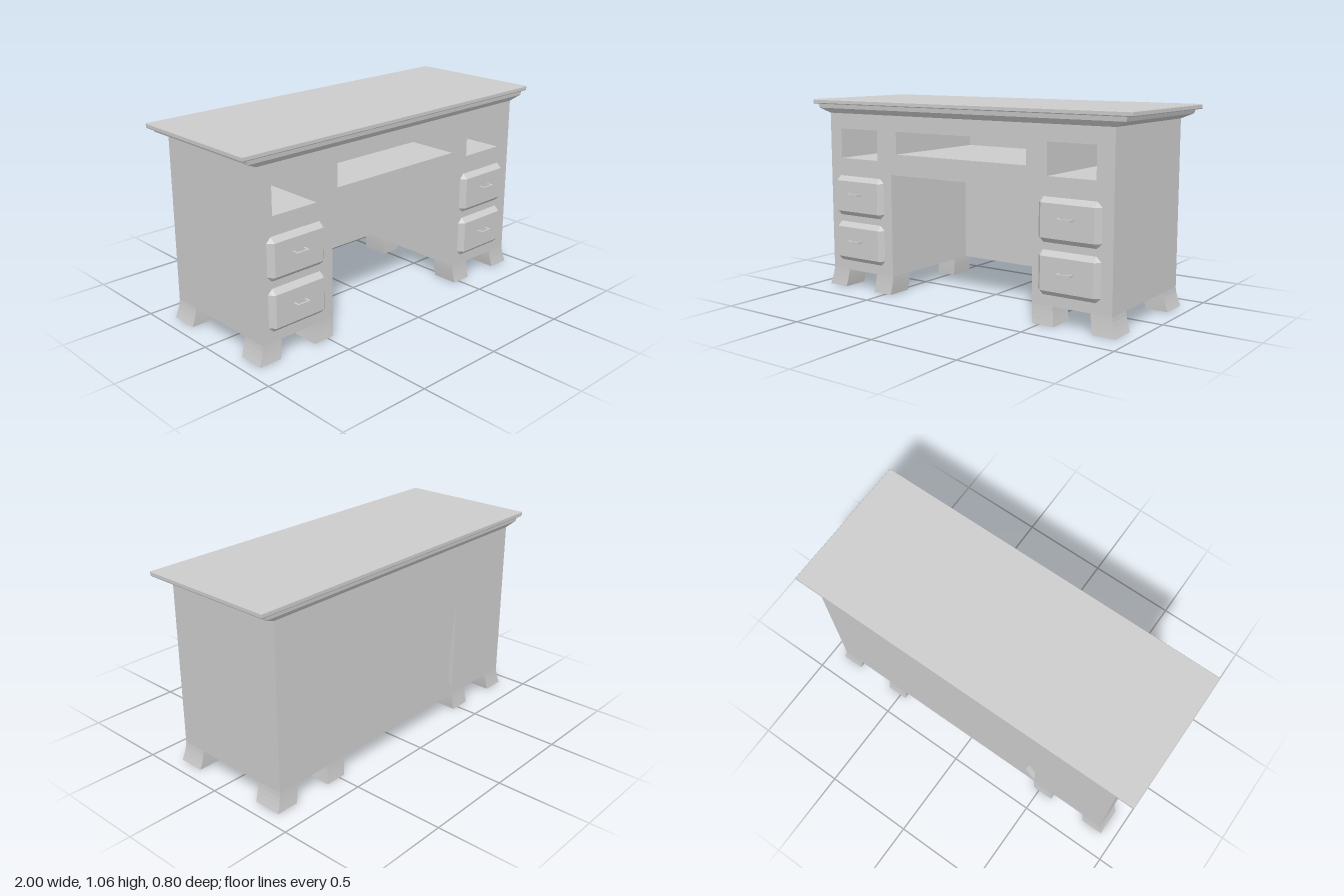
import * as THREE from 'three';

const mat = new THREE.MeshStandardMaterial({ color: 0xcccccc, flatShading: true });

function add(parent, name, geometry) {
  const mesh = new THREE.Mesh(geometry, mat);
  mesh.name = name;
  parent.add(mesh);
  return mesh;
}

// Skin a list of equal-length rings of [x, y, z], with flat end caps
function loft(rings) {
  const pos = [];
  const tri = (...pts) => pts.forEach((p) => pos.push(...p));
  const n = rings[0].length;
  for (let i = 0; i < rings.length - 1; i++) {
    for (let k = 0; k < n; k++) {
      const j = (k + 1) % n;
      const a = rings[i][k], b = rings[i][j], c = rings[i + 1][j], d = rings[i + 1][k];
      tri(a, b, c);
      tri(a, c, d);
    }
  }
  const first = rings[0], last = rings[rings.length - 1];
  for (let k = 1; k < n - 1; k++) {
    tri(first[0], first[k + 1], first[k]);
    tri(last[0], last[k], last[k + 1]);
  }
  const g = new THREE.BufferGeometry();
  g.setAttribute('position', new THREE.Float32BufferAttribute(pos, 3));
  g.computeVertexNormals();
  return g;
}

// Horizontal rectangle at height y
const level = (y, x0, x1, z0, z1) => [[x0, y, z1], [x1, y, z1], [x1, y, z0], [x0, y, z0]];

const shapeOf = (pts) => new THREE.Shape(pts.map(([x, y]) => new THREE.Vector2(x, y)));
const pathOf = (pts) => new THREE.Path(pts.map(([x, y]) => new THREE.Vector2(x, y)));
const rect = (x0, x1, y0, y1) => [[x0, y0], [x1, y0], [x1, y1], [x0, y1]];

function slab(shape, z0, z1) {
  const g = new THREE.ExtrudeGeometry(shape, { depth: z1 - z0, bevelEnabled: false });
  g.translate(0, 0, z0);
  return g;
}

// Drawer front: cut-corner outline tapering to a rectangular face
function drawerFront(cx, y0, y1) {
  const w = 0.175, c = 0.027, z0 = 0.334, z1 = 0.363;
  const x0 = cx - w, x1 = cx + w;
  const outer = [[x0 + c, y0], [x1 - c, y0], [x1, y0 + c], [x1, y1 - c],
    [x1 - c, y1], [x0 + c, y1], [x0, y1 - c], [x0, y0 + c]];
  const inner = outer.map(([x, y]) => [
    THREE.MathUtils.clamp(x, x0 + c, x1 - c),
    THREE.MathUtils.clamp(y, y0 + c, y1 - c)]);
  return loft([outer.map(([x, y]) => [x, y, z0]), inner.map(([x, y]) => [x, y, z1])]);
}

// U-shaped pull lying flat, projecting forwards
function pull(cx, y) {
  const w = 0.038, t = 0.01, back = 0.36, front = 0.4, h = 0.012;
  const u = shapeOf([[-w, -back], [-w, -front], [w, -front], [w, -back],
    [w - t, -back], [w - t, -front + t], [-w + t, -front + t], [-w + t, -back]]);
  const g = new THREE.ExtrudeGeometry(u, { depth: h, bevelEnabled: false });
  g.rotateX(-Math.PI / 2);
  g.translate(cx, y - h / 2, 0);
  return g;
}

export function createModel() {
  const desk = new THREE.Group();
  desk.name = 'desk';

  // Carcass with knee space and three open compartments
  const knee = 0.455, bottom = 0.1, top = 0.988;
  const front = shapeOf([[-0.9, bottom], [-knee, bottom], [-knee, 0.665], [knee, 0.665],
    [knee, bottom], [0.9, bottom], [0.9, top], [-0.9, top]]);
  front.holes.push(
    pathOf(rect(-0.82, -0.553, 0.735, 0.9)),
    pathOf(rect(-0.418, 0.416, 0.778, 0.9)),
    pathOf(rect(0.535, 0.805, 0.735, 0.9)));
  add(desk, 'carcass', slab(front, -0.325, 0.335));

  // Back panel, with a small triangular recess beside one pedestal
  const back = shapeOf(rect(-0.9, 0.9, bottom, top));
  back.holes.push(pathOf([[-0.455, 0.13], [-0.395, 0.24], [-0.455, 0.65]]));
  add(desk, 'backPanel', slab(back, -0.365, -0.335));
  add(desk, 'backLining', slab(shapeOf(rect(-0.9, 0.9, bottom, top)), -0.335, -0.325));

  // Flared moulding and worktop
  add(desk, 'moulding', loft([
    level(0.985, -0.9, 0.9, -0.365, 0.335),
    level(1.012, -0.962, 0.962, -0.386, 0.357),
    level(1.036, -0.97, 0.97, -0.388, 0.36)]));
  add(desk, 'worktop', loft([
    level(1.035, -0.997, 0.997, -0.397, 0.366),
    level(1.039, -1, 1, -0.4, 0.369),
    level(1.056, -1, 1, -0.4, 0.369),
    level(1.06, -0.997, 0.997, -0.397, 0.366)]));

  // Feet: [edge at top, edge at floor] pairs, sweeping outwards
  const feetX = [[[0.785, 0.8], [0.9, 0.925]], [[0.455, 0.465], [0.575, 0.585]]];
  const feetZ = [[[0.195, 0.2], [0.335, 0.345]], [[-0.365, -0.375], [-0.215, -0.22]]];
  const steps = [1, 0.75, 0.5, 0.25, 0];
  for (const side of [-1, 1]) {
    feetX.forEach((fx, i) => feetZ.forEach((fz, j) => {
      const rings = steps.map((s) => {
        const at = ([a, b]) => a + (b - a) * Math.pow(s, 1.5);
        const xs = fx.map((e) => side * at(e)).sort((a, b) => a - b);
        return level(bottom * (1 - s), xs[0], xs[1], at(fz[0]), at(fz[1]));
      });
      add(desk, `${j ? 'back' : 'front'}${i ? 'Inner' : 'Outer'}Foot`, loft(rings));
    }));
  }

  // Drawers and pulls
  for (const [cx, px] of [[-0.685, -0.692], [0.665, 0.664]]) {
    for (const [y0, y1, py] of [[0.413, 0.638, 0.54], [0.153, 0.378, 0.275]]) {
      const drawer = new THREE.Group();
      drawer.name = 'drawer';
      add(drawer, 'drawerFront', drawerFront(cx, y0, y1));
      add(drawer, 'drawerPull', pull(px, py));
      desk.add(drawer);
    }
  }
  return desk;
}
